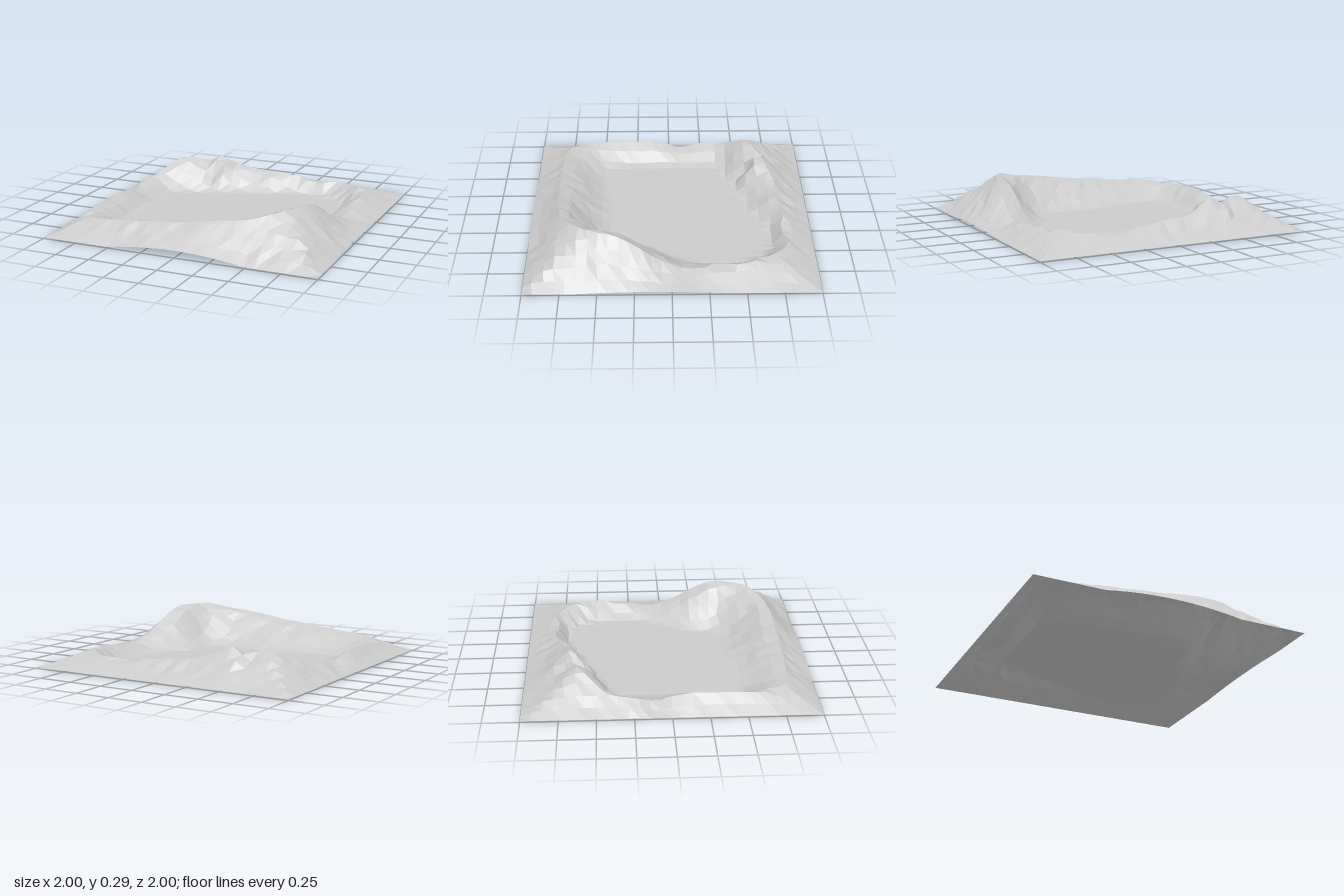
import * as THREE from 'three';

// Crest of the rim, in order of angle: x, z, height, inner foot as a share of the crest radius
const CREST = [
  [-0.86, -0.1, 0.06, 0.78], [-0.88, -0.25, 0.1, 0.77], [-0.85, -0.42, 0.11, 0.8],
  [-0.77, -0.53, 0.18, 0.75], [-0.7, -0.6, 0.23, 0.72], [-0.6, -0.64, 0.22, 0.7],
  [-0.51, -0.68, 0.18, 0.72], [-0.43, -0.68, 0.25, 0.7], [-0.33, -0.72, 0.2, 0.72],
  [-0.2, -0.77, 0.15, 0.73], [0, -0.77, 0.13, 0.76], [0.2, -0.8, 0.11, 0.86],
  [0.4, -0.82, 0.1, 0.88], [0.6, -0.79, 0.1, 0.85], [0.72, -0.68, 0.12, 0.85],
  [0.8, -0.5, 0.11, 0.82], [0.82, -0.3, 0.1, 0.8], [0.79, -0.1, 0.06, 0.75],
  [0.77, 0.1, 0.13, 0.65], [0.75, 0.25, 0.23, 0.57], [0.72, 0.4, 0.295, 0.6],
  [0.68, 0.55, 0.295, 0.62], [0.6, 0.66, 0.295, 0.6], [0.45, 0.76, 0.25, 0.58],
  [0.25, 0.79, 0.23, 0.56], [0, 0.8, 0.19, 0.54], [-0.25, 0.8, 0.165, 0.55],
  [-0.5, 0.8, 0.14, 0.58], [-0.75, 0.78, 0.12, 0.64], [-0.85, 0.65, 0.11, 0.74],
  [-0.86, 0.4, 0.12, 0.8], [-0.86, 0.15, 0.12, 0.79], [-0.86, 0.01, 0.1, 0.78],
].map(([x, z, h, foot]) => ({ a: Math.atan2(z, x), r: Math.hypot(x, z), h, foot }))
  .sort((p, q) => p.a - q.a);

const clamp = (v) => Math.min(1, Math.max(0, v));

// Crest radius, height and foot in the direction of angle a
function crestAt(a) {
  const n = CREST.length;
  let j = CREST.findIndex((p) => p.a > a);
  if (j < 0) j = 0;
  const p = CREST[(j + n - 1) % n], q = CREST[j];
  const turn = 2 * Math.PI;
  const span = (q.a - p.a + turn) % turn;
  const t = ((a - p.a + turn) % turn) / span;
  const mix = (k) => p[k] + (q[k] - p[k]) * t;
  return { r: mix('r'), h: mix('h'), foot: mix('foot') };
}

// Slight lift of the outer border in the middle of the front and left sides
function borderHeight(x, z) {
  const front = 0.042 * clamp(1 - (x / 0.5) ** 2) * clamp((z - 0.5) * 2);
  const side = 0.014 * clamp(1 - ((z - 0.15) / 0.5) ** 2) * clamp((x - 0.5) * 2);
  return 0.008 + front + side;
}

export function createModel() {
  const group = new THREE.Group();
  let seed = 7;
  const rand = () => {
    seed = (seed * 16807) % 2147483647;
    return seed / 2147483647 - 0.5;
  };

  const geometry = new THREE.PlaneGeometry(2, 2, 28, 28).rotateX(-Math.PI / 2);
  const pos = geometry.attributes.position;
  for (let i = 0; i < pos.count; i++) {
    let x = pos.getX(i), z = pos.getZ(i);
    const border = Math.max(Math.abs(x), Math.abs(z)) > 0.99;
    const c = crestAt(Math.atan2(z, x));
    let r = Math.hypot(x, z);
    // Pull vertices near the crest onto it, so the ridge line stays sharp
    if (!border && Math.abs(r - c.r) < 0.032) {
      x *= c.r / r;
      z *= c.r / r;
      r = c.r;
    }
    let y;
    if (r <= c.r) {
      const t = clamp((r / c.r - c.foot) / (0.98 - c.foot));
      y = c.h * (0.4 * t + 0.6 * t * t * (3 - 2 * t));
    } else {
      const edge = r / Math.max(Math.abs(x), Math.abs(z));
      const t = clamp((edge - r) / (edge - c.r));
      const low = borderHeight(x, z);
      y = low + (c.h - low) * t ** 1.15;
    }
    // Rough rock on the slopes only
    if (!border && y > 0.02 && r !== c.r) {
      x += rand() * 0.02;
      z += rand() * 0.02;
      y += rand() * 0.1 * y;
    }
    pos.setXYZ(i, x, y, z);
  }
  geometry.computeVertexNormals();

  const terrain = new THREE.Mesh(geometry, new THREE.MeshStandardMaterial({
    color: 0xcccccc, flatShading: true, side: THREE.DoubleSide,
  }));
  terrain.name = 'craterTerrain';
  group.add(terrain);
  return group;
}
